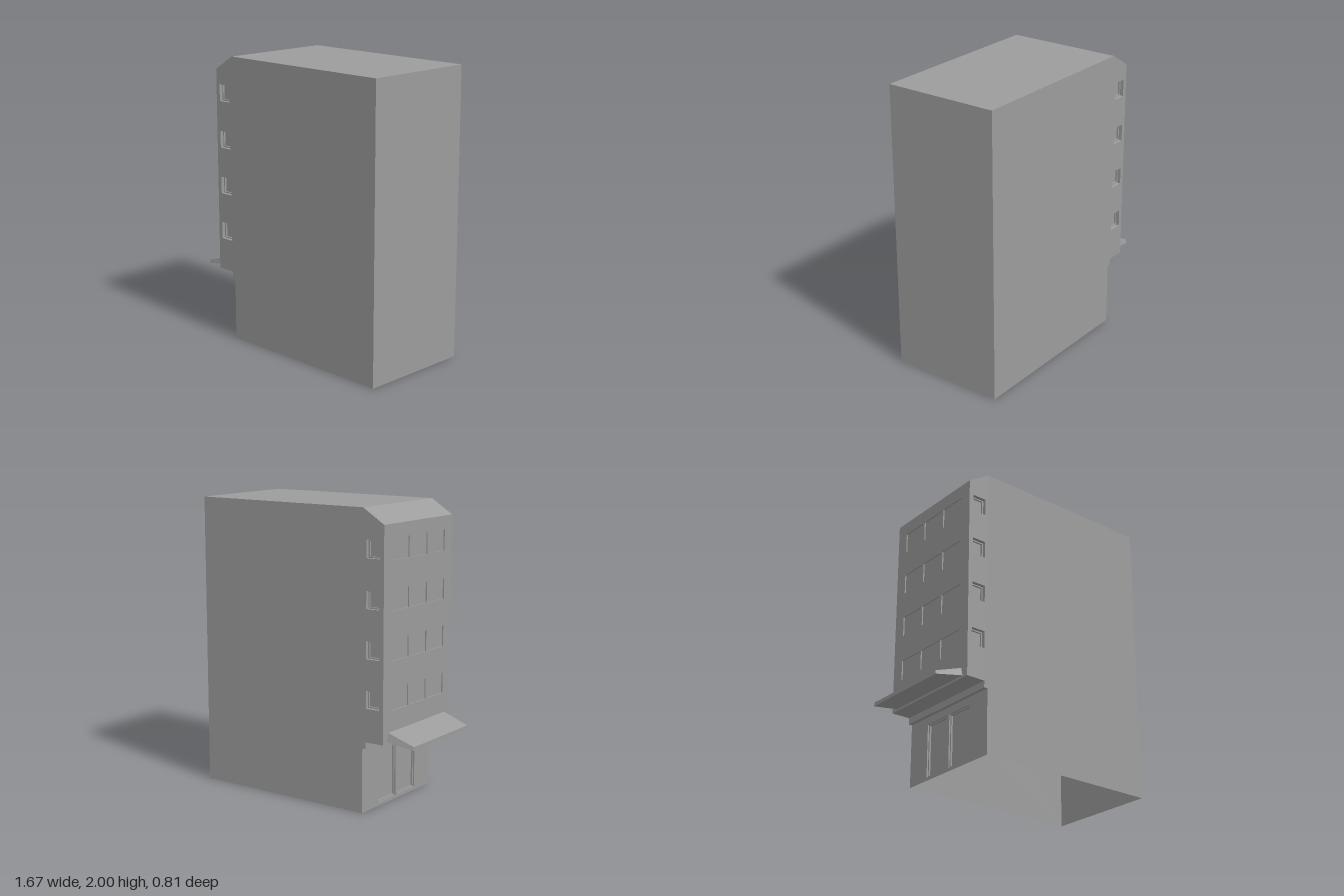
import * as THREE from 'three';

const material = new THREE.MeshStandardMaterial({ color: 0x9c9c9c, flatShading: true, side: THREE.DoubleSide });
const HALF = 0.405; // half the depth of the building

// Outline of the building, counter-clockwise from the lower rear corner, open at the ground
const profile = [
  [0.835, 0], [0.835, 2], [-0.485, 2], [-0.645, 1.9], [-0.645, 0.485],
  [-0.51, 0.485], [-0.51, 0.44], [-0.485, 0.44], [-0.485, 0],
];
const floors = [0.768, 1.093, 1.417, 1.741]; // window centre heights

const rectangle = (x, y, w, h) => [[-1, -1], [1, -1], [1, 1], [-1, 1]].map(([i, j]) => [x + i * w / 2, y + j * h / 2]);
const toVectors = points => points.map(([x, y]) => new THREE.Vector2(x, y));

// Reveal behind an opening, closed by a pane or by a frame with a deeper pane
function recess(name, { x, y, w, h, depth, frame }) {
  const group = new THREE.Group();
  group.name = name;
  const geo = new THREE.BoxGeometry(w, h, depth);
  geo.setIndex(Array.from(geo.index.array).slice(0, 24)); // the four sides only
  geo.clearGroups();
  const reveal = new THREE.Mesh(geo, material);
  reveal.name = name + 'Reveal';
  reveal.position.set(x, y, -depth / 2);
  const inner = frame ? [{ x, y, w: w - 2 * frame, h: h - 2 * frame, depth: 0.012 }] : [];
  const back = wall(name + (frame ? 'Frame' : 'Pane'), rectangle(x, y, w, h), inner, name + 'Inset');
  back.position.z = -depth;
  group.add(reveal, back);
  return group;
}

// Flat wall with rectangular openings, each closed by a recess
function wall(name, points, openings = [], openingName = 'window') {
  const shape = new THREE.Shape(toVectors(points));
  const group = new THREE.Group();
  group.name = name;
  for (const o of openings) {
    shape.holes.push(new THREE.Path(toVectors(rectangle(o.x, o.y, o.w, o.h))));
    group.add(recess(openingName, o));
  }
  const mesh = new THREE.Mesh(new THREE.ShapeGeometry(shape), material);
  mesh.name = name + 'Surface';
  group.add(mesh);
  return group;
}

// Wall spanning the building's depth along one edge of the outline
function strip(name, i, openings, openingName) {
  const a = new THREE.Vector3(...profile[i], 0);
  const d = new THREE.Vector3(...profile[i + 1], 0).sub(a);
  const len = d.length();
  d.normalize();
  const group = wall(name, rectangle(0, len / 2, 2 * HALF, len), openings, openingName);
  const basis = new THREE.Matrix4().makeBasis(
    new THREE.Vector3(0, 0, -1), d, new THREE.Vector3(d.y, -d.x, 0));
  group.quaternion.setFromRotationMatrix(basis);
  group.position.copy(a);
  return group;
}

// Sloping canopy, narrower at its tip and at its top
function canopy() {
  const geo = new THREE.BoxGeometry(1, 1, 1);
  const p = geo.attributes.position;
  for (let i = 0; i < p.count; i++) {
    const tip = p.getX(i) < 0, top = p.getY(i) > 0, side = Math.sign(p.getZ(i));
    const y = tip ? (top ? 0.49 : 0.465) : (top ? 0.555 : 0.5);
    const z = tip ? (top ? 0.332 : 0.338) : (top ? 0.343 : 0.357);
    p.setXYZ(i, tip ? -0.835 : -0.645, y, side * z);
  }
  geo.computeVertexNormals();
  const mesh = new THREE.Mesh(geo, material);
  mesh.name = 'canopy';
  return mesh;
}

export function createModel() {
  const model = new THREE.Group();
  model.name = 'building';

  // Side walls with one small framed window per floor
  for (const s of [1, -1]) {
    const windows = floors.map(y => ({ x: -0.5625 * s, y, w: 0.102, h: 0.117, depth: 0.024, frame: 0.009 }));
    const side = wall('sideWall', profile.map(([x, y]) => [x * s, y]), windows, 'sideWindow');
    side.position.z = HALF * s;
    if (s < 0) side.rotation.y = Math.PI;
    model.add(side);
  }

  // Street facade: three wide windows on each floor
  const facadeWindows = floors.flatMap(y =>
    [-0.214, 0, 0.214].map(x => ({ x, y: 1.904 - y, w: 0.2, h: 0.14, depth: 0.009 })));

  // Ground floor: two recessed doors
  const doors = [-0.117, 0.117].map(x => ({ x, y: 0.235, w: 0.21, h: 0.365, depth: 0.01, frame: 0.009 }));

  model.add(
    strip('rearWall', 0), strip('roof', 1), strip('roofSlope', 2),
    strip('facade', 3, facadeWindows, 'facadeWindow'),
    strip('soffit', 4), strip('beamFace', 5), strip('beamUnderside', 6),
    strip('entranceWall', 7, doors, 'door'),
    canopy(),
  );
  return model;
}
